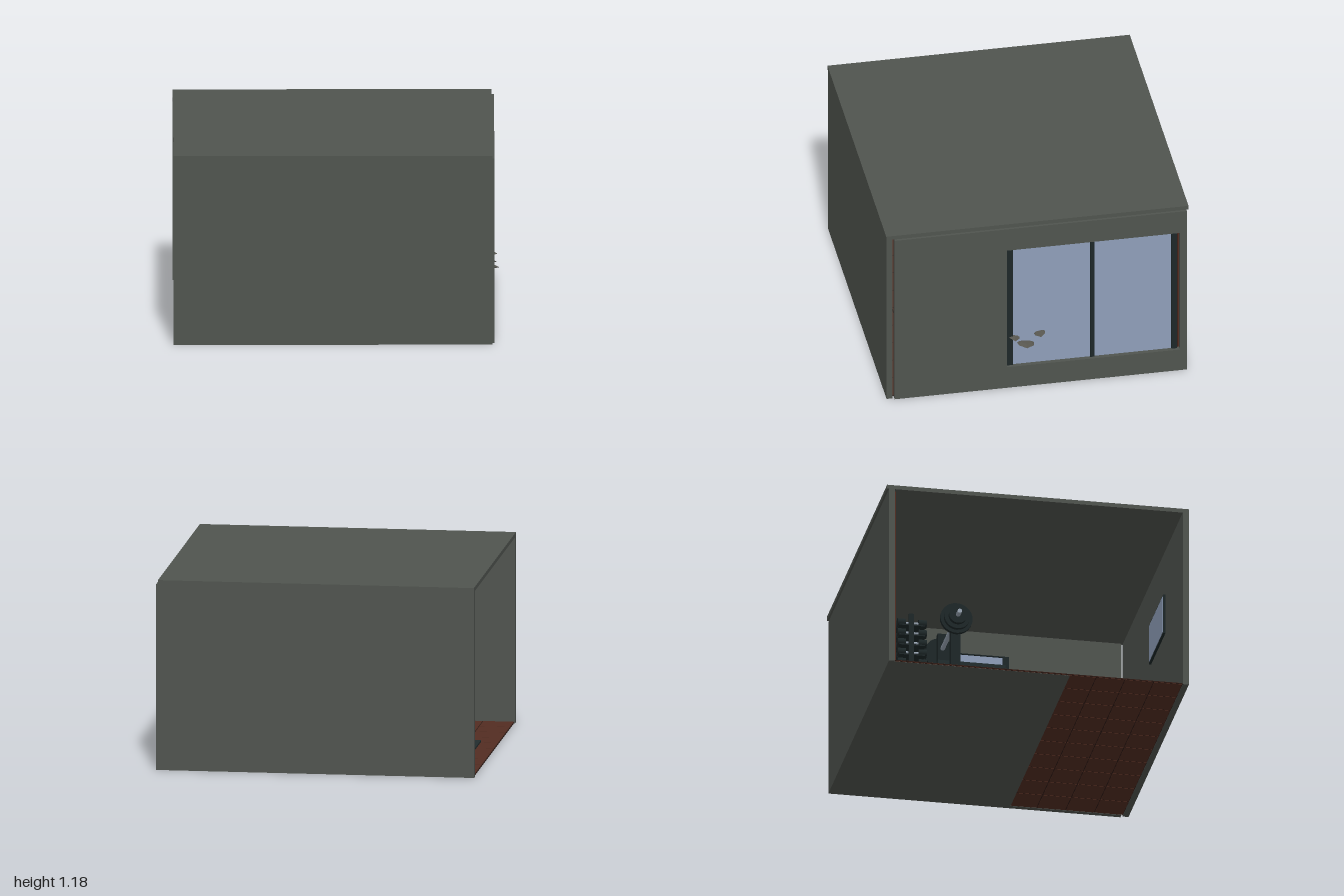
import * as THREE from 'three';
import { mergeGeometries } from 'three/addons/utils/BufferGeometryUtils.js';

const mat = (name, color) => {
  const m = new THREE.MeshStandardMaterial({ color });
  m.name = name;
  return m;
};

export function createModel() {
  const room = new THREE.Group();
  room.name = 'gymRoom';
  const wallGrey = mat('wallGrey', 0x50544f);
  const glassBlue = mat('glassBlue', 0x8f9fba);
  const tileRed = mat('tileRed', 0x532d22);
  const groutBrown = mat('groutBrown', 0x2e1a14);
  const rubber = mat('rubberDark', 0x222d2e);
  const iron = mat('ironDark', 0x1d2728);
  const steel = mat('steel', 0x9aa6b4);
  const leafGrey = mat('leafGrey', 0x56554e);
  leafGrey.flatShading = true;

  const add = (name, geo, material, parent = room) => {
    const m = new THREE.Mesh(geo, material);
    m.name = name;
    parent.add(m);
    return m;
  };
  // Box given by its minimum and maximum corners
  const boxGeo = (x0, x1, y0, y1, z0, z1) => new THREE.BoxGeometry(x1 - x0, y1 - y0, z1 - z0)
    .translate((x0 + x1) / 2, (y0 + y1) / 2, (z0 + z1) / 2);
  const box = (name, material, ...b) => add(name, boxGeo(...b), material);
  // Cylinder lying along x or z
  const rod = (r, len, axis, x, y, z, n = 20) => {
    const g = new THREE.CylinderGeometry(r, r, len, n);
    if (axis === 'x') g.rotateZ(Math.PI / 2);
    if (axis === 'z') g.rotateX(Math.PI / 2);
    return g.translate(x, y, z);
  };

  // Shell: roof and solid front and back walls; the -x side stays open
  box('roof', wallGrey, -1, 0.95, 1.157, 1.183, -0.94, 0.94);
  box('frontWall', wallGrey, -1, 0.95, 0, 1.157, 0.9, 0.938);
  box('backWall', wallGrey, -1, 0.93, 0, 1.157, -0.928, -0.892);

  // Window wall on the +x side, with its opening
  const side = new THREE.Shape();
  side.moveTo(-0.89, 0).lineTo(0.928, 0).lineTo(0.928, 1.155).lineTo(-0.89, 1.155).closePath();
  const hole = new THREE.Path();
  hole.moveTo(-0.19, 0.15).lineTo(-0.19, 1).lineTo(0.885, 1).lineTo(0.885, 0.15).closePath();
  side.holes.push(hole);
  const sideGeo = new THREE.ExtrudeGeometry(side, { depth: 0.033, bevelEnabled: false });
  sideGeo.rotateY(Math.PI / 2).translate(0.93, 0, 0);
  add('windowWall', sideGeo, wallGrey);

  // Window panes and upright frames
  box('windowGlass', glassBlue, 0.931, 0.935, 0.15, 1, -0.85, 0.17);
  for (const [a, b] of [[0.15, 0.19], [-0.355, -0.33], [-0.87, -0.835]])
    box('windowPost', iron, 0.922, 0.944, 0.15, 1, a, b);
  box('windowTopRail', iron, 0.922, 0.944, 0.994, 1, -0.87, 0.19);

  // Tiled floor over a partial grey slab, with a rubber mat on top
  box('floorSlab', wallGrey, -0.99, 0.95, 0, 0.004, -0.925, 0.2);
  box('grout', groutBrown, -0.995, 0.93, 0.003, 0.009, -0.89, 0.9);
  const tiles = [];
  const nx = 10, nz = 10, w = 1.925 / nx, d = 1.79 / nz, gap = 0.003;
  for (let i = 0; i < nx; i++) {
    for (let j = 0; j < nz; j++) {
      const x = -0.995 + i * w, z = -0.89 + j * d;
      tiles.push(boxGeo(x + gap, x + w - gap, 0.001, 0.011, z + gap, z + d - gap));
    }
  }
  add('floorTiles', mergeGeometries(tiles), tileRed);
  box('rubberMat', rubber, -0.886, 0.9, 0.01, 0.022, -0.87, 0.21);

  // Red cladding on the inside of the back wall
  box('backCladding', tileRed, -0.98, 0.92, 0.012, 1.15, -0.892, -0.88);

  // Screen on the inside of the front wall
  box('screenBody', iron, -0.44, 0.02, 0.6, 0.86, 0.886, 0.9);
  box('screenFace', glassBlue, -0.43, 0.01, 0.61, 0.85, 0.883, 0.887);

  // Dumbbell rack along the back wall, five tiers
  const rack = new THREE.Group();
  rack.name = 'dumbbellRack';
  room.add(rack);
  for (const x of [-0.93, -0.43])
    add('rackUpright', boxGeo(x, x + 0.02, 0.012, 0.36, -0.79, -0.76), iron, rack);
  const heads = [], grips = [];
  for (let t = 0; t < 5; t++) {
    const y = 0.05 + t * 0.066;
    add('rackShelf', boxGeo(-0.93, -0.41, y - 0.034, y - 0.026, -0.85, -0.69), iron, rack);
    for (let i = 0; i < 7; i++) {
      const x = -0.885 + i * 0.07;
      for (const z of [-0.83, -0.7]) heads.push(rod(0.028, 0.05, 'z', x, y, z, 8));
      grips.push(rod(0.009, 0.1, 'z', x, y, -0.765, 8));
    }
  }
  add('dumbbellHeads', mergeGeometries(heads), iron, rack);
  add('dumbbellGrips', mergeGeometries(grips), steel, rack);

  // Press stand with a loaded bar lying along x
  const press = new THREE.Group();
  press.name = 'pressStand';
  room.add(press);
  add('standBase', boxGeo(-0.77, -0.63, 0.0005, 0.04, -0.52, -0.4), iron, press);
  add('standColumn', boxGeo(-0.73, -0.67, 0.03, 0.54, -0.49, -0.43), iron, press);
  add('standColumn', boxGeo(-0.3, -0.25, 0.02, 0.54, -0.49, -0.43), iron, press);
  add('bar', rod(0.014, 0.76, 'x', -0.48, 0.44, -0.46), steel, press);
  const plates = [[0.1, 0.08], [0.08, 0.105], [0.055, 0.13]];
  for (const s of [-1, 1])
    for (const [r, off] of plates)
      add('weightPlate', rod(r, 0.024, 'x', -0.48 + s * (0.18 + off), 0.44, -0.46, 28), iron, press);

  // Flat bench
  const bench = new THREE.Group();
  bench.name = 'bench';
  room.add(bench);
  add('benchPad', boxGeo(-0.56, -0.42, 0.2, 0.24, -0.54, -0.12), rubber, bench);
  for (const z of [-0.5, -0.19]) {
    add('benchFoot', boxGeo(-0.53, -0.45, 0.0005, 0.03, z - 0.012, z + 0.012), iron, bench);
    add('benchLeg', boxGeo(-0.505, -0.475, 0.02, 0.2, z - 0.012, z + 0.012), iron, bench);
  }

  // Potted plant by the window, some leaf tips poking out past the pane
  const plant = new THREE.Group();
  plant.name = 'plant';
  room.add(plant);
  const pot = new THREE.LatheGeometry([[0, 0.022], [0.05, 0.022], [0.07, 0.17], [0.06, 0.17], [0.055, 0.15], [0, 0.15]]
    .map(([x, y]) => new THREE.Vector2(x, y)), 20);
  add('pot', pot, rubber, plant).position.set(0.83, 0, 0.06);
  add('stem', rod(0.01, 0.24, 'y', 0.83, 0.26, 0.06, 8), leafGrey, plant);
  // Each leaf: tip centre x, y, z, half width and roll
  const leaves = [
    [0.895, 0.305, 0.07, 0.065, -0.12], [0.885, 0.37, -0.015, 0.045, 0.15], [0.88, 0.355, 0.14, 0.045, -0.2],
    [0.77, 0.33, 0.12, 0.04, 0.2], [0.76, 0.37, 0.01, 0.04, -0.2], [0.83, 0.4, 0.06, 0.05, 0],
  ];
  for (const [x, y, z, half, roll] of leaves) {
    const leaf = add('leaf', new THREE.SphereGeometry(1, 8, 4), leafGrey, plant);
    leaf.scale.set(0.1, 0.014, half);
    leaf.rotation.set(roll, 0, x > 0.83 ? -0.12 : 0.2);
    leaf.position.set(x, y, z);
  }
  return room;
}
